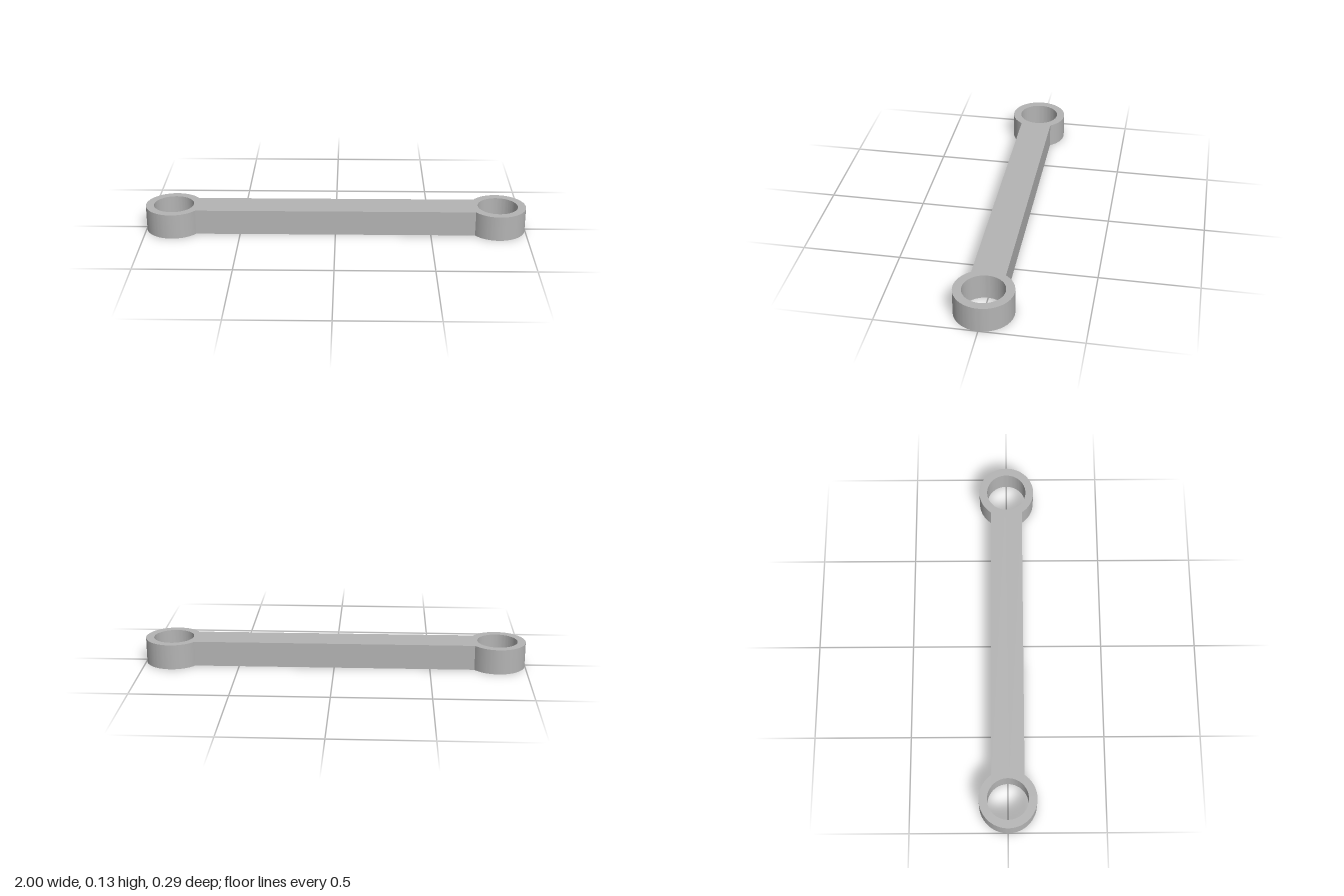
import * as THREE from 'three';
import { toCreasedNormals } from 'three/addons/utils/BufferGeometryUtils.js';

const RING_X = 0.8525, OUTER_R = 0.1475, HOLE_R = 0.105, BAR_HALF = 0.084, HEIGHT = 0.132;

export function createModel() {
  const group = new THREE.Group();
  group.name = 'connectingLink';

  const grey = new THREE.MeshStandardMaterial({ color: 0xb4b4b4 });
  grey.name = 'grey';

  // Outline: two round ends joined by a straight bar
  const a = Math.asin(BAR_HALF / OUTER_R);
  const outline = new THREE.Shape();
  outline.absarc(RING_X, 0, OUTER_R, a - Math.PI, Math.PI - a, false);
  outline.absarc(-RING_X, 0, OUTER_R, a, 2 * Math.PI - a, false);
  outline.closePath();

  // A through hole in each end
  for (const side of [-1, 1]) {
    const hole = new THREE.Path();
    hole.absarc(side * RING_X, 0, HOLE_R, 0, 2 * Math.PI, true);
    outline.holes.push(hole);
  }

  // Stand the extrusion upright, smooth around the rings and sharp at the edges
  const body = new THREE.ExtrudeGeometry(outline, { depth: HEIGHT, bevelEnabled: false, curveSegments: 48 });
  body.rotateX(-Math.PI / 2);
  const link = new THREE.Mesh(toCreasedNormals(body, Math.PI / 6), grey);
  link.name = 'linkBody';
  group.add(link);

  return group;
}
